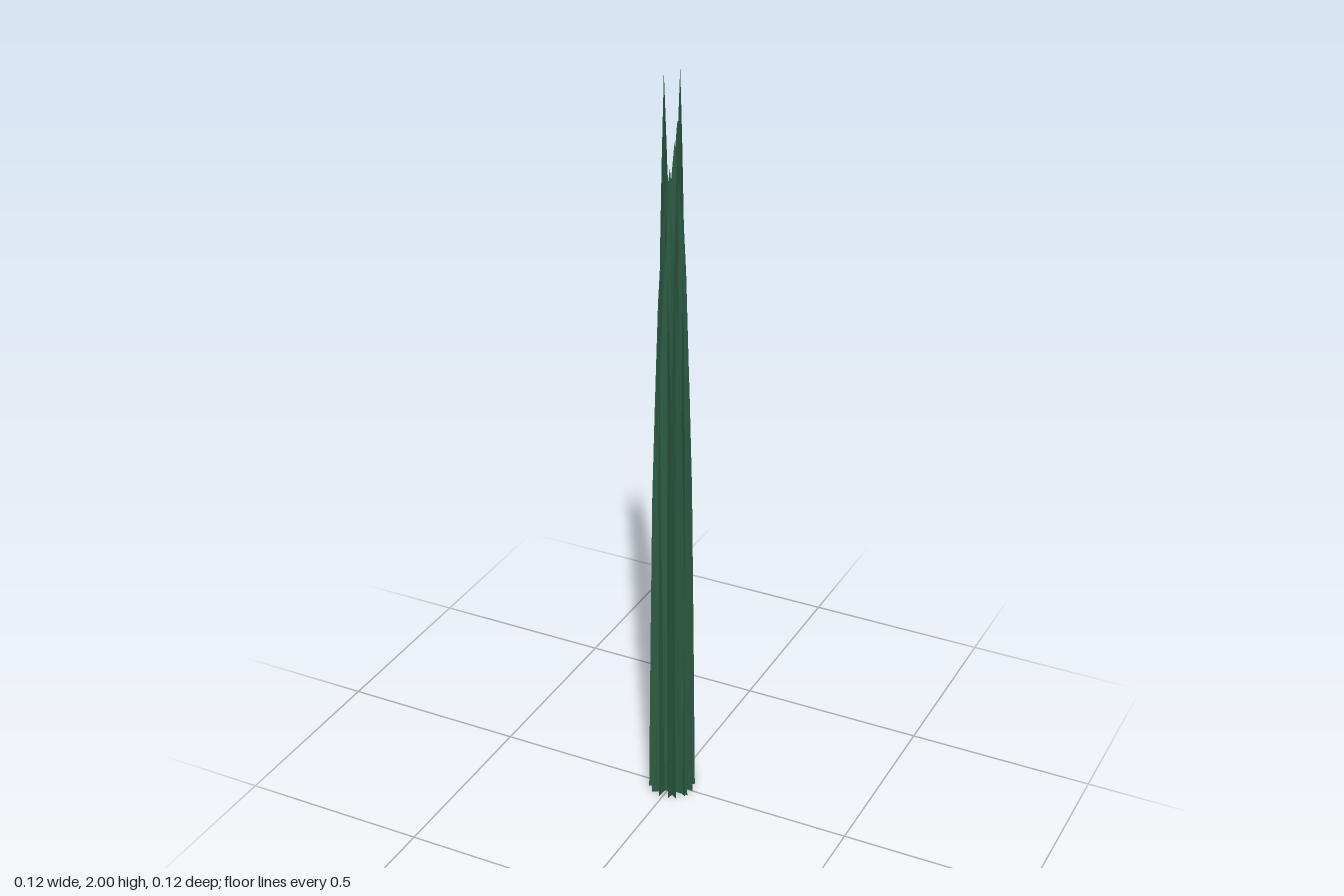
import * as THREE from 'three';

// Half width of a leaf against its relative height
const PROFILE = [[0, 0.06], [0.25, 0.054], [0.5, 0.047], [0.65, 0.039], [0.8, 0.028], [0.9, 0.016], [0.96, 0.007], [1, 0.0004]];

// Leaf: angle around the clump in degrees, height
const LEAVES = [
  [3.5, 2], [48, 1.76], [78, 1.87], [132, 1.75],
  [184, 1.98], [228, 1.72], [260, 1.77], [314, 1.83],
];

// A tall tapering leaf facing +x with a thin diamond cross-section
function leafGeometry(height) {
  const positions = [];
  const index = [];
  for (const [t, half] of PROFILE) {
    const y = t * height;
    const edgeX = THREE.MathUtils.lerp(0.013, 0.02, t);
    const innerX = THREE.MathUtils.lerp(0.003, 0.02, t);
    const outerX = THREE.MathUtils.lerp(0.024, 0.0205, t);
    positions.push(outerX, y, 0, edgeX, y, -half, innerX, y, 0, edgeX, y, half);
  }
  const last = (PROFILE.length - 1) * 4;
  for (let r = 0; r < last; r += 4) {
    for (let i = 0; i < 4; i++) {
      const a = r + i;
      const b = r + ((i + 1) % 4);
      index.push(a, b, b + 4, a, b + 4, a + 4);
    }
  }
  // Closed foot and tip
  index.push(0, 2, 1, 0, 3, 2, last, last + 1, last + 2, last, last + 2, last + 3);
  const geometry = new THREE.BufferGeometry();
  geometry.setAttribute('position', new THREE.Float32BufferAttribute(positions, 3));
  geometry.setIndex(index);
  const flat = geometry.toNonIndexed();
  flat.computeVertexNormals();
  return flat;
}

export function createModel() {
  const model = new THREE.Group();
  model.name = 'leafClump';
  const green = new THREE.MeshStandardMaterial({ color: 0x2b5a42, side: THREE.DoubleSide, flatShading: true });

  // Ring of upright leaves crossing one another
  LEAVES.forEach(([angle, height], i) => {
    const leaf = new THREE.Mesh(leafGeometry(height), green);
    leaf.name = `leaf${i + 1}`;
    leaf.rotation.y = THREE.MathUtils.degToRad(angle);
    model.add(leaf);
  });
  return model;
}
